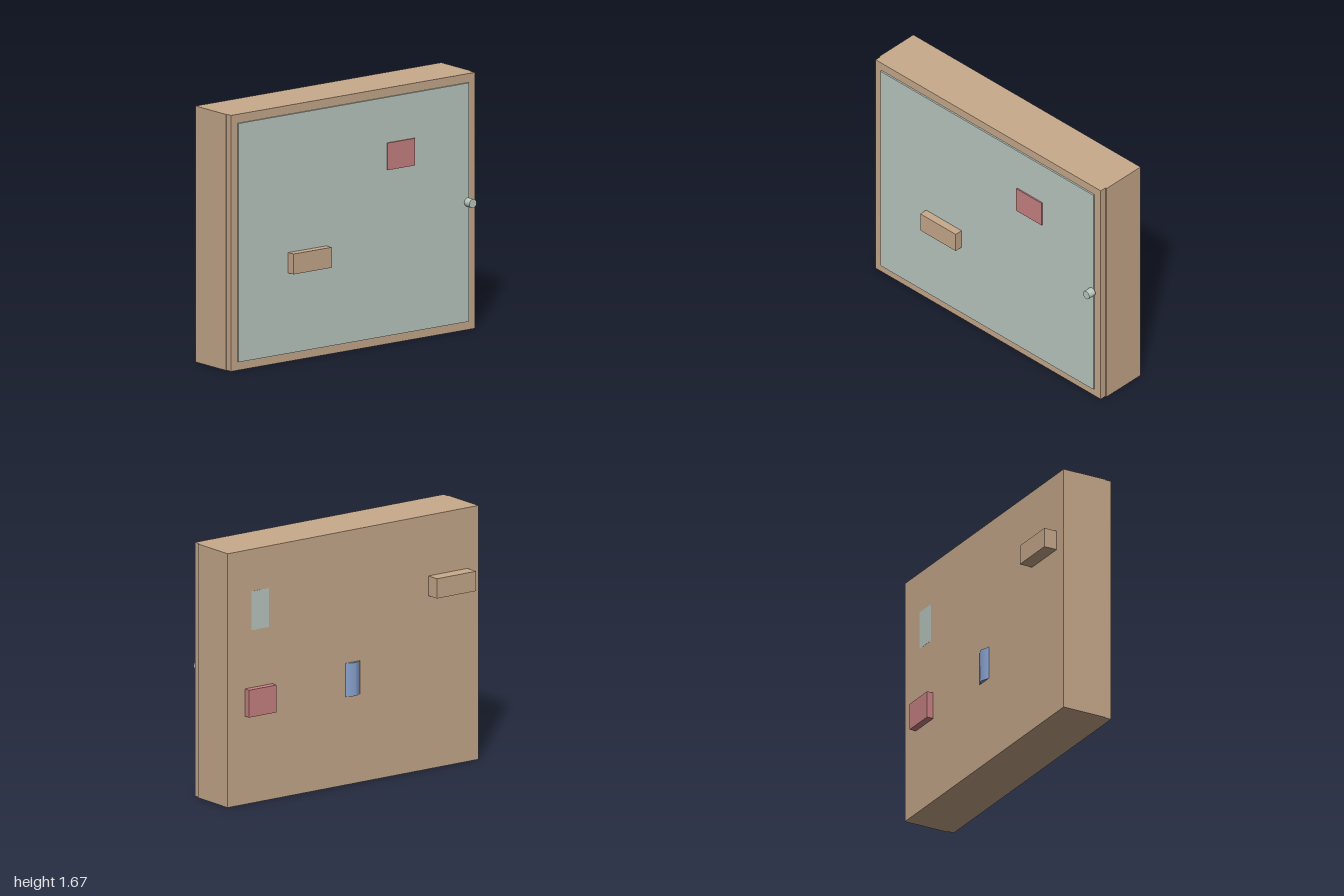
import * as THREE from 'three';

export function createModel() {
  const model = new THREE.Group();
  model.name = 'wallCabinet';

  const material = (name, color) => {
    const m = new THREE.MeshStandardMaterial({ color });
    m.name = name;
    return m;
  };
  const wood = material('wood', 0xc8aa8c);
  const paleGreen = material('paleGreen', 0xbbc9c1);
  const red = material('red', 0xc98283);
  const blue = material('blue', 0x8ca5d3);

  const add = (name, geometry, mat) => {
    const mesh = new THREE.Mesh(geometry, mat);
    mesh.name = name;
    model.add(mesh);
    return mesh;
  };
  // Box given by its limits on each axis
  const block = (name, mat, [x0, x1], [y0, y1], [z0, z1]) =>
    add(name, new THREE.BoxGeometry(x1 - x0, y1 - y0, z1 - z0), mat)
      .position.set((x0 + x1) / 2, (y0 + y1) / 2, (z0 + z1) / 2);

  // Case and slightly narrower door
  block('caseBody', wood, [-1, 1], [0, 1.67], [-0.165, 0.145]);
  block('door', wood, [-0.993, 0.99], [0, 1.67], [0.145, 0.19]);
  block('doorPanel', paleGreen, [-0.94, 0.935], [0.055, 1.612], [0.19, 0.201]);

  // Details on the door
  block('doorBlock', wood, [-0.537, -0.225], [0.58, 0.713], [0.2, 0.255]);
  block('doorTag', red, [0.265, 0.487], [1.138, 1.315], [0.2, 0.21]);
  const knob = add('knob', new THREE.CylinderGeometry(0.029, 0.029, 0.055, 20), paleGreen);
  knob.rotation.x = Math.PI / 2;
  knob.position.set(0.924, 0.835, 0.2275);

  // Details on the back
  block('backBlock', wood, [-0.912, -0.602], [1.14, 1.27], [-0.255, -0.165]);
  block('backTag', red, [0.642, 0.862], [0.58, 0.76], [-0.21, -0.165]);
  block('backPlate', paleGreen, [0.67, 0.81], [1.137, 1.393], [-0.166, -0.16]);

  // Eight-sided post sunk into the back so that only one ridge shows
  const post = add('backPost', new THREE.CylinderGeometry(0.09, 0.09, 0.22, 8), blue);
  post.position.set(0, 0.69, -0.099);

  return model;
}
